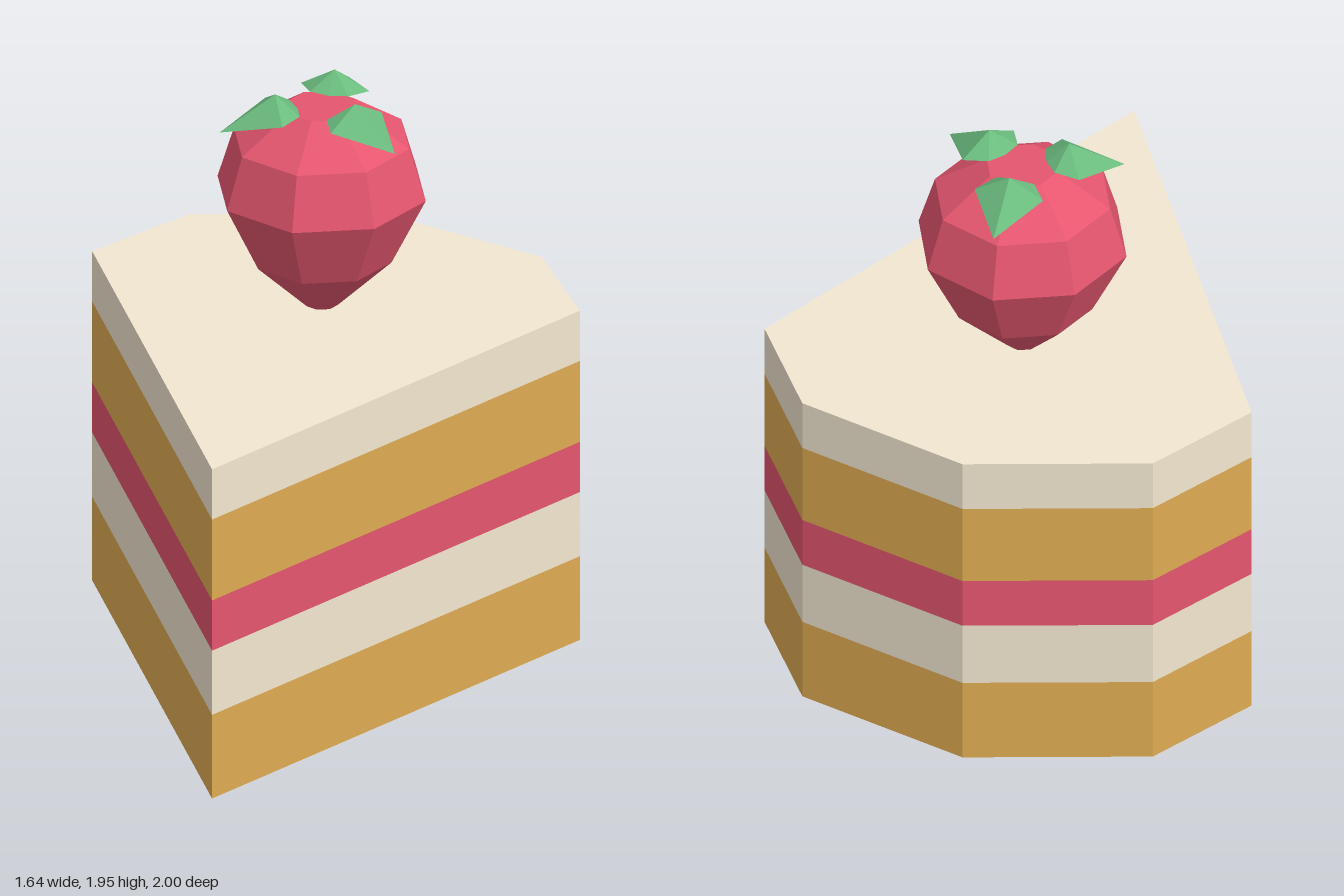
import * as THREE from 'three';
import { ConvexGeometry } from 'three/addons/geometries/ConvexGeometry.js';

const material = (color) => new THREE.MeshStandardMaterial({ color, flatShading: true });

const sponge = material(0xdfac52);
const cream = material(0xf3e7d0);
const jam = material(0xe5566f);
const leafGreen = material(0x6abb7e);

function addMesh(parent, name, geometry, mat) {
  const mesh = new THREE.Mesh(geometry, mat);
  mesh.name = name;
  parent.add(mesh);
  return mesh;
}

// Wedge outline as (x, -z): tip at the front, faceted arc at the back
function wedgeShape() {
  const half = [[0.82, 0.47], [0.59, 0.825]];
  const points = [[0, -1], ...half, [0, 1], ...half.map(([x, y]) => [-x, y]).reverse()];
  return new THREE.Shape(points.map(([x, y]) => new THREE.Vector2(x, y)));
}

function createSlice() {
  const slice = new THREE.Group();
  slice.name = 'cakeSlice';
  const layers = [
    ['bottomSponge', 0, 0.3, sponge],
    ['middleCream', 0.3, 0.53, cream],
    ['jamLayer', 0.53, 0.71, jam],
    ['topSponge', 0.71, 1.0, sponge],
    ['topCream', 1.0, 1.18, cream],
  ];
  const shape = wedgeShape();
  for (const [name, bottom, top, mat] of layers) {
    const geometry = new THREE.ExtrudeGeometry(shape, { depth: top - bottom, bevelEnabled: false });
    geometry.rotateX(-Math.PI / 2);
    addMesh(slice, name, geometry, mat).position.y = bottom;
  }
  return slice;
}

function createStrawberry() {
  const berry = new THREE.Group();
  berry.name = 'strawberry';

  // Eight-sided fruit, narrow end down
  const profile = [[0, 1.18], [0.055, 1.18], [0.235, 1.355], [0.35, 1.59], [0.295, 1.77], [0.12, 1.885], [0, 1.885]];
  const fruit = new THREE.LatheGeometry(profile.map(([r, y]) => new THREE.Vector2(r, y)), 8);
  addMesh(berry, 'fruit', fruit, jam);

  // Three folded leaves, each with a raised ridge and a drooping tip
  const leaf = new ConvexGeometry([
    [0, 1.83, -0.34],
    [0, 1.945, -0.155],
    [0.115, 1.88, -0.16], [-0.115, 1.88, -0.16],
    [0.065, 1.887, -0.09], [-0.065, 1.887, -0.09],
    [0, 1.885, -0.08],
  ].map((p) => new THREE.Vector3(...p)));
  ['backLeaf', 'leftLeaf', 'rightLeaf'].forEach((name, i) => {
    addMesh(berry, name, leaf, leafGreen).rotation.y = -i * Math.PI * 2 / 3;
  });

  berry.position.z = -0.3;
  return berry;
}

export function createModel() {
  const model = new THREE.Group();
  model.name = 'strawberryCake';
  model.add(createSlice(), createStrawberry());
  return model;
}
